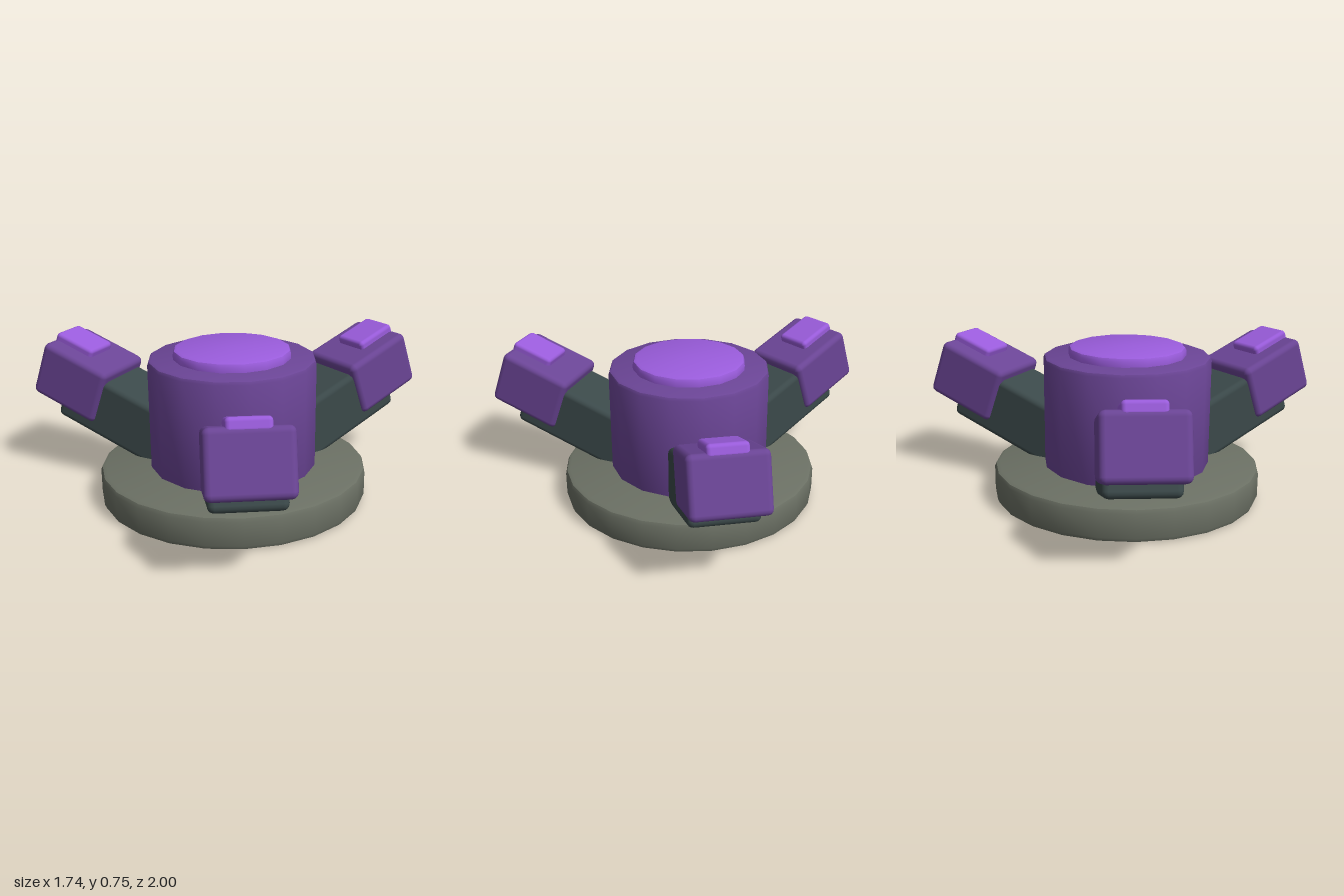
import * as THREE from 'three';
import { RoundedBoxGeometry } from 'three/addons/geometries/RoundedBoxGeometry.js';
import { toCreasedNormals } from 'three/addons/utils/BufferGeometryUtils.js';

const CENTRE_X = -0.195;
const TILT = THREE.MathUtils.degToRad(20);

function material(name, color) {
  const m = new THREE.MeshStandardMaterial({ color });
  m.name = name;
  return m;
}

// Disc or drum with softly bevelled rims
function bevelledDrum(name, radius, y0, y1, bevel, sides, mat) {
  const b = bevel;
  const k = b * 0.293;
  const profile = [
    [0, y0], [radius - b, y0], [radius - k, y0 + k], [radius, y0 + b],
    [radius, y1 - b], [radius - k, y1 - k], [radius - b, y1], [0, y1],
  ].map(([x, y]) => new THREE.Vector2(x, y));
  const geometry = toCreasedNormals(new THREE.LatheGeometry(profile, sides), 0.6);
  const mesh = new THREE.Mesh(geometry, mat);
  mesh.name = name;
  return mesh;
}

// Rounded box placed in the radial plane and tilted outwards and up
function tiltedBox(name, size, radius, x, y, mat) {
  const mesh = new THREE.Mesh(new RoundedBoxGeometry(...size, 2, radius), mat);
  mesh.name = name;
  mesh.position.set(x, y, 0);
  mesh.rotation.z = TILT;
  return mesh;
}

export function createModel() {
  const stone = material('grey green', 0x6b7064);
  const dark = material('dark slate', 0x3b494a);
  const purple = material('purple', 0x6b4596);
  const bright = material('bright violet', 0x9a5cdc);

  const model = new THREE.Group();
  model.name = 'threeArmedHub';
  const body = new THREE.Group();
  body.name = 'body';
  body.position.x = CENTRE_X;
  model.add(body);

  // Base, hub and glowing cap
  body.add(
    bevelledDrum('base', 0.657, 0, 0.165, 0.025, 24, stone),
    bevelledDrum('hub', 0.41, 0.12, 0.705, 0.02, 16, purple),
    bevelledDrum('cap', 0.287, 0.66, 0.75, 0.02, 16, bright),
  );

  // Three arms, each with an end block and a raised pad
  const blockX = 0.84;
  const blockY = 0.507;
  const along = 0.075;
  const up = 0.15;
  for (let i = 0; i < 3; i++) {
    const arm = new THREE.Group();
    arm.name = `arm${i + 1}`;
    arm.rotation.y = (i * Math.PI * 2) / 3;
    arm.add(
      tiltedBox('armBeam', [0.7, 0.3, 0.335], 0.03, 0.556, 0.346, dark),
      tiltedBox('endBlock', [0.385, 0.29, 0.37], 0.03, blockX, blockY, purple),
      tiltedBox('pad', [0.225, 0.065, 0.19], 0.02,
        blockX + along * Math.cos(TILT) - up * Math.sin(TILT),
        blockY + along * Math.sin(TILT) + up * Math.cos(TILT), bright),
    );
    body.add(arm);
  }
  return model;
}
